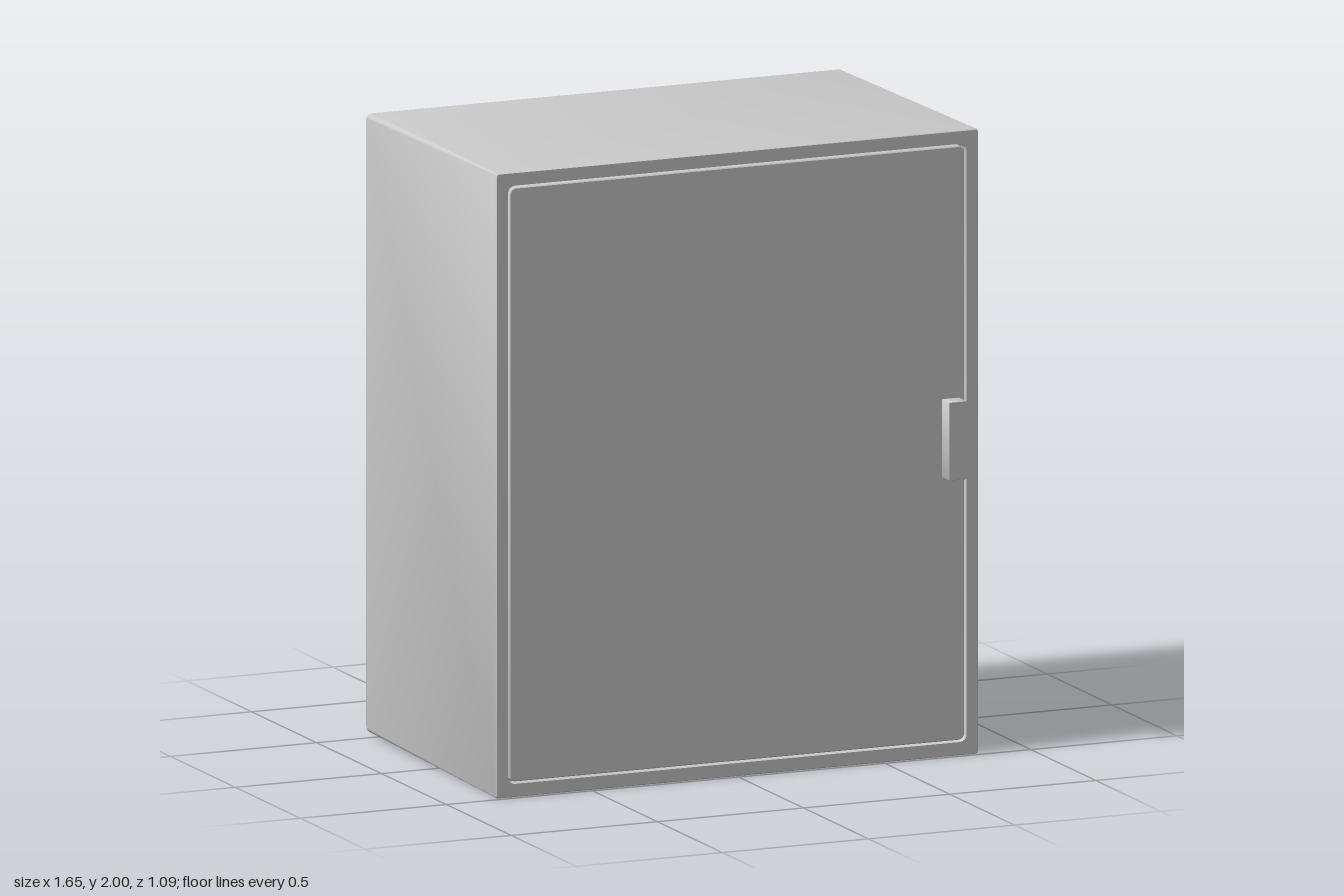
import * as THREE from 'three';
import { toCreasedNormals } from 'three/addons/utils/BufferGeometryUtils.js';

const material = new THREE.MeshStandardMaterial({ color: 0xcccccc });
const CENTER_Y = 1;

// Corner-rounded rectangle, counter-clockwise seen from the front
function roundedRect(hw, hh, r, steps = 4) {
  const pts = [];
  const corners = [[1, -1], [1, 1], [-1, 1], [-1, -1]];
  corners.forEach(([sx, sy], c) => {
    for (let i = 0; i <= steps; i++) {
      const a = (c - 1 + i / steps) * Math.PI / 2;
      pts.push(new THREE.Vector2(sx * (hw - r) + r * Math.cos(a), sy * (hh - r) + r * Math.sin(a)));
    }
  });
  return pts;
}

// Skin a list of rings [halfWidth, halfHeight, radius, z], closed at both ends
function loft(rings) {
  const loops = rings.map(([hw, hh, r, z]) => roundedRect(hw, hh, r).map(p => new THREE.Vector3(p.x, p.y, z)));
  const n = loops[0].length;
  const capPoint = z => Array.from({ length: n }, () => new THREE.Vector3(0, 0, z));
  loops.unshift(capPoint(rings[0][3]));
  loops.push(capPoint(rings[rings.length - 1][3]));
  const out = [];
  const tri = (a, b, c) => {
    if (new THREE.Triangle(a, b, c).getArea() > 1e-9) out.push(a, b, c);
  };
  for (let k = 0; k < loops.length - 1; k++) {
    for (let i = 0; i < n; i++) {
      const j = (i + 1) % n, a = loops[k], b = loops[k + 1];
      tri(a[i], a[j], b[j]);
      tri(a[i], b[j], b[i]);
    }
  }
  return toCreasedNormals(new THREE.BufferGeometry().setFromPoints(out), 0.6);
}

function addPart(group, name, geometry, x = 0, y = CENTER_Y, z = 0) {
  const mesh = new THREE.Mesh(geometry, material);
  mesh.name = name;
  mesh.position.set(x, y, z);
  group.add(mesh);
}

export function createModel() {
  const group = new THREE.Group();
  group.name = 'cabinet';

  // Carcass: rounded back edges, slight widening to the front, recess for the door
  addPart(group, 'carcass', loft([
    [0.8, 0.975, 0.012, -0.545],
    [0.808, 0.983, 0.015, -0.543],
    [0.813, 0.988, 0.016, -0.538],
    [0.815, 0.99, 0.016, -0.53],
    [0.825, 1, 0.008, 0.485],
    [0.822, 0.997, 0.008, 0.49],
    [0.785, 0.957, 0.024, 0.49],
    [0.785, 0.957, 0.024, 0.45],
  ]));

  // Door panel, set flush with a thin gap all round
  addPart(group, 'door', loft([
    [0.778, 0.95, 0.02, 0.451],
    [0.778, 0.95, 0.02, 0.486],
    [0.775, 0.947, 0.018, 0.489],
  ]));

  // Upright block handle near the opening edge
  addPart(group, 'handle', loft([
    [0.03, 0.125, 0.002, -0.03],
    [0.03, 0.125, 0.002, 0.029],
    [0.029, 0.124, 0.002, 0.03],
  ]), 0.731, 1.02, 0.515);

  return group;
}
